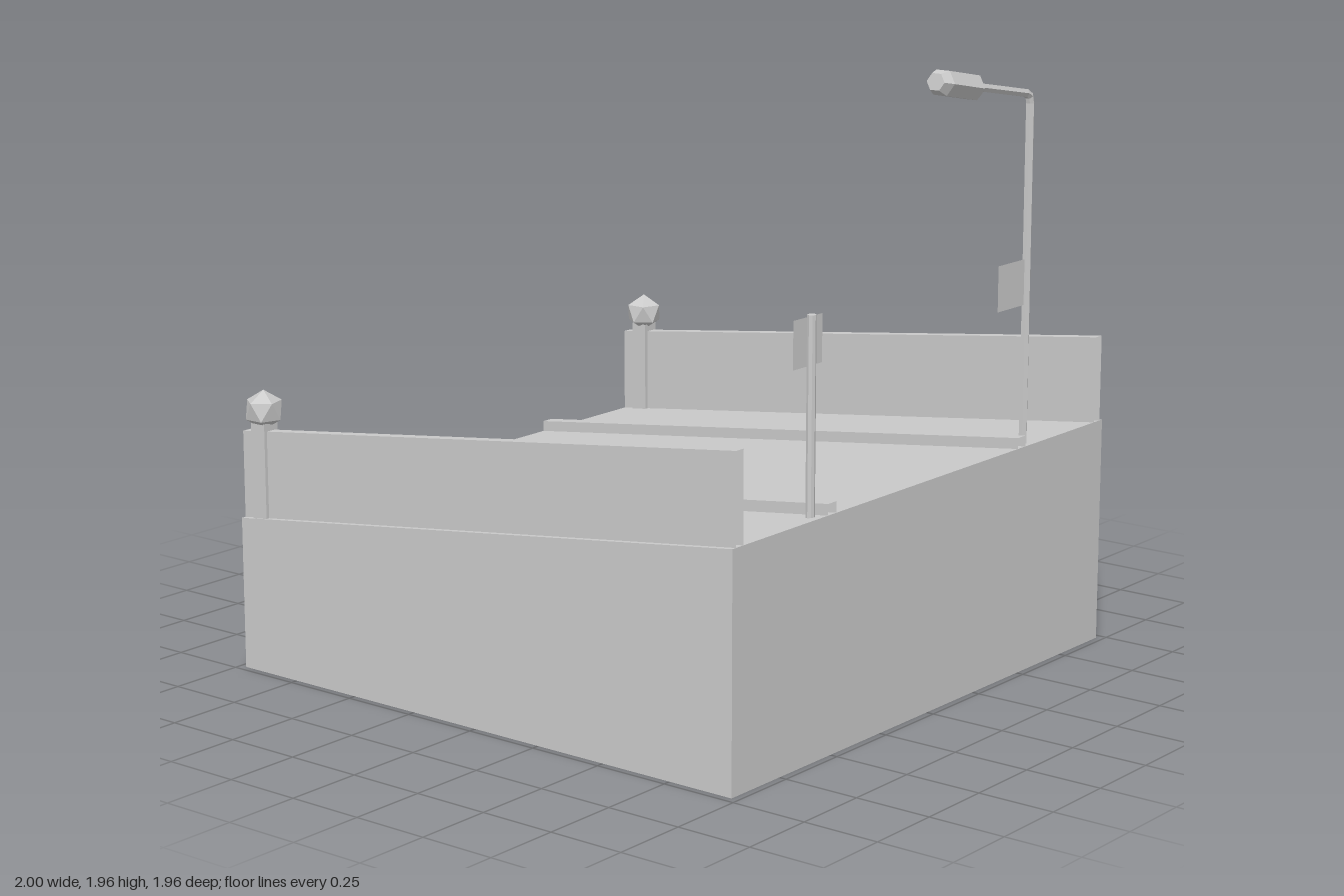
import * as THREE from 'three';

const HALF = 0.976;                 // half width and half depth of the ramp
const FRONT_Y = 0.735, BACK_Y = 0.492;
const deckY = z => BACK_Y + (FRONT_Y - BACK_Y) * (z + HALF) / (2 * HALF);

export function createModel() {
  const model = new THREE.Group();
  const material = new THREE.MeshStandardMaterial({
    color: 0xcccccc, flatShading: true, side: THREE.DoubleSide,
  });

  const add = (name, geometry, x = 0, y = 0, z = 0) => {
    const mesh = new THREE.Mesh(geometry, material);
    mesh.name = name;
    mesh.position.set(x, y, z);
    model.add(mesh);
    return mesh;
  };

  // Lift every vertex so the geometry follows the slope of the deck
  const slope = geometry => {
    const p = geometry.attributes.position;
    for (let i = 0; i < p.count; i++) p.setY(i, p.getY(i) + deckY(p.getZ(i)));
    geometry.computeVertexNormals();
    return geometry;
  };

  // Box keeping only the listed faces (0..5 = +x, -x, +y, -y, +z, -z)
  const openBox = (w, h, d, faces) => {
    const geometry = new THREE.BoxGeometry(w, h, d);
    const index = Array.from(geometry.index.array);
    geometry.setIndex(faces.flatMap(f => index.slice(f * 6, f * 6 + 6)));
    return geometry;
  };

  // Sloping rail with open ends, from bottom to top relative to the deck
  const rail = (name, x, width, bottom, top) => {
    const geometry = openBox(width, top - bottom, 2 * HALF, [0, 1, 2, 3]);
    geometry.translate(0, (top + bottom) / 2, 0);
    add(name, slope(geometry), x);
  };

  // Deck and front wall
  add('deck', slope(new THREE.PlaneGeometry(2 * HALF, 2 * HALF).rotateX(-Math.PI / 2)));
  add('frontWall', new THREE.PlaneGeometry(2 * HALF, FRONT_Y), 0, FRONT_Y / 2, HALF);

  // Side wall outline, drawn with shape x = -z
  const sideShape = new THREE.Shape([
    new THREE.Vector2(-HALF, 0), new THREE.Vector2(HALF, 0),
    new THREE.Vector2(HALF, BACK_Y), new THREE.Vector2(-HALF, FRONT_Y),
  ]);

  for (const [side, s] of [['left', 1], ['right', -1]]) {
    add(side + 'SideWall', new THREE.ShapeGeometry(sideShape).rotateY(Math.PI / 2), s * HALF);
    rail(side + 'Parapet', s * 0.943, 0.034, -0.04, 0.28);
    rail(side + 'Curb', s * 0.502, 0.042, -0.035, 0.035);

    // Gate post with a faceted finial standing on one point
    add(side + 'Post', openBox(0.058, 0.39, 0.058, [0, 1, 4, 5]), s * 0.942, 0.615, -0.9);
    const finial = new THREE.IcosahedronGeometry(0.064, 0)
      .rotateZ(Math.atan(2 / (1 + Math.sqrt(5))));
    if (s > 0) finial.rotateY(Math.PI);
    add(side + 'Finial', finial, s * 0.942, 0.848, -0.9);
  }

  // Street lamp: pole, tight bend and rising arm
  const v = (x, y) => new THREE.Vector3(x, y, 0);
  const path = new THREE.CurvePath();
  path.add(new THREE.LineCurve3(v(0.57, 0.72), v(0.57, 1.81)));
  path.add(new THREE.QuadraticBezierCurve3(v(0.57, 1.81), v(0.57, 1.837), v(0.545, 1.842)));
  path.add(new THREE.LineCurve3(v(0.545, 1.842), v(0.265, 1.893)));
  add('lampPole', new THREE.TubeGeometry(path, 60, 0.014, 6), 0, 0, 0.935);

  // Six-sided lamp head, bevelled at both ends
  const headProfile = [[0, 0], [0.026, 0], [0.048, 0.035], [0.048, 0.2], [0.032, 0.232], [0, 0.232]]
    .map(([r, y]) => new THREE.Vector2(r, y));
  const head = add('lampHead', new THREE.LatheGeometry(headProfile, 6), 0.28, 1.887, 0.935);
  head.scale.x = 0.9;
  head.rotation.z = THREE.MathUtils.degToRad(79);

  // Sign pole and the two sign plates
  add('signPole', new THREE.CylinderGeometry(0.014, 0.014, 0.61, 8), -0.555, 1.025, 0.935);
  add('signPlate', new THREE.PlaneGeometry(0.14, 0.145), -0.553, 1.248, 0.92);
  add('lampPlate', new THREE.PlaneGeometry(0.15, 0.145), 0.487, 1.248, 0.935);

  return model;
}
